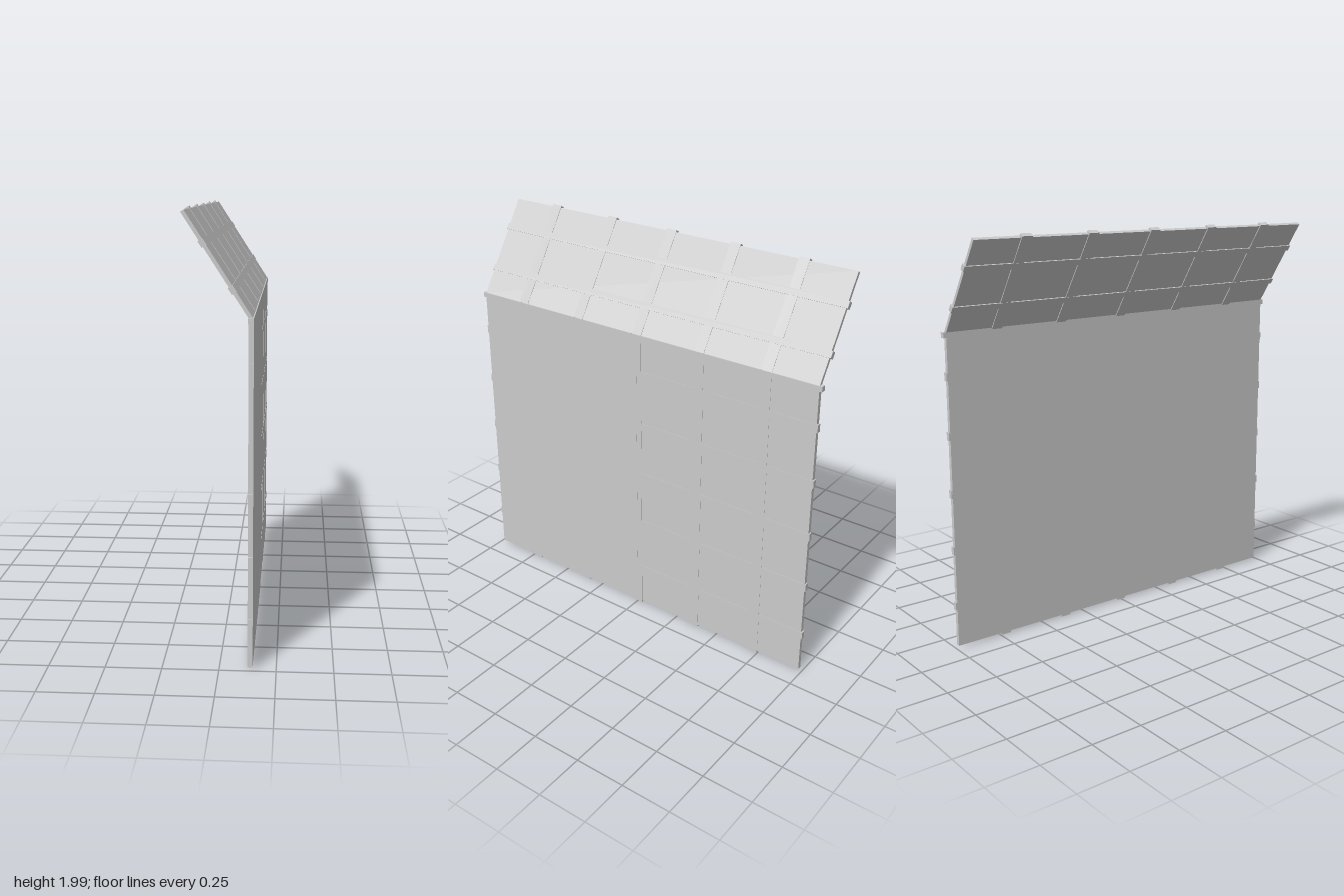
import * as THREE from 'three';

export function createModel() {
  const model = new THREE.Group();
  const material = new THREE.MeshStandardMaterial({ color: 0xcccccc, flatShading: true });

  // Box given by its centre and size
  const box = (parent, name, [x, y, z], [w, h, d]) => {
    const mesh = new THREE.Mesh(new THREE.BoxGeometry(w, h, d), material);
    mesh.name = name;
    mesh.position.set(x, y, z);
    parent.add(mesh);
  };

  const postZ = [-0.72, -0.36, 0, 0.36, 0.72];

  // Upright wall: two sheets that meet in a fine step at the middle
  const wall = new THREE.Group();
  wall.name = 'wall';
  box(wall, 'wallSheetBack', [0.135, 0.775, -0.4925], [0.02, 1.53, 0.985]);
  box(wall, 'wallSheetFront', [0.136, 0.775, 0.4925], [0.022, 1.53, 0.985]);

  // Wall battens, embedded in the sheets with their ends showing
  for (let i = 0; i < 5; i++) {
    box(wall, 'wallRail', [0.136, 0.215 + i * 0.28, 0], [0.021, 0.04, 1.984]);
  }
  for (const z of postZ) {
    box(wall, 'wallPost', [0.136, 0.765, z], [0.021, 1.53, 0.055]);
  }
  box(wall, 'topRail', [0.136, 1.528, 0], [0.024, 0.025, 2]);
  model.add(wall);

  // Leaning upper panel: thin sheet with a proud grid of battens
  const slope = new THREE.Group();
  slope.name = 'leaningPanel';
  slope.position.set(0.136, 1.535, 0);
  slope.rotation.z = Math.atan2(0.285, 0.44);
  box(slope, 'leaningSheet', [0.001, 0.26, 0], [0.016, 0.52, 1.97]);
  for (const y of [0.143, 0.368]) {
    box(slope, 'leaningRail', [0, y, 0], [0.024, 0.032, 1.986]);
  }
  for (const z of postZ) {
    box(slope, 'leaningPost', [0, 0.265, z], [0.022, 0.53, 0.055]);
  }
  model.add(slope);

  return model;
}
